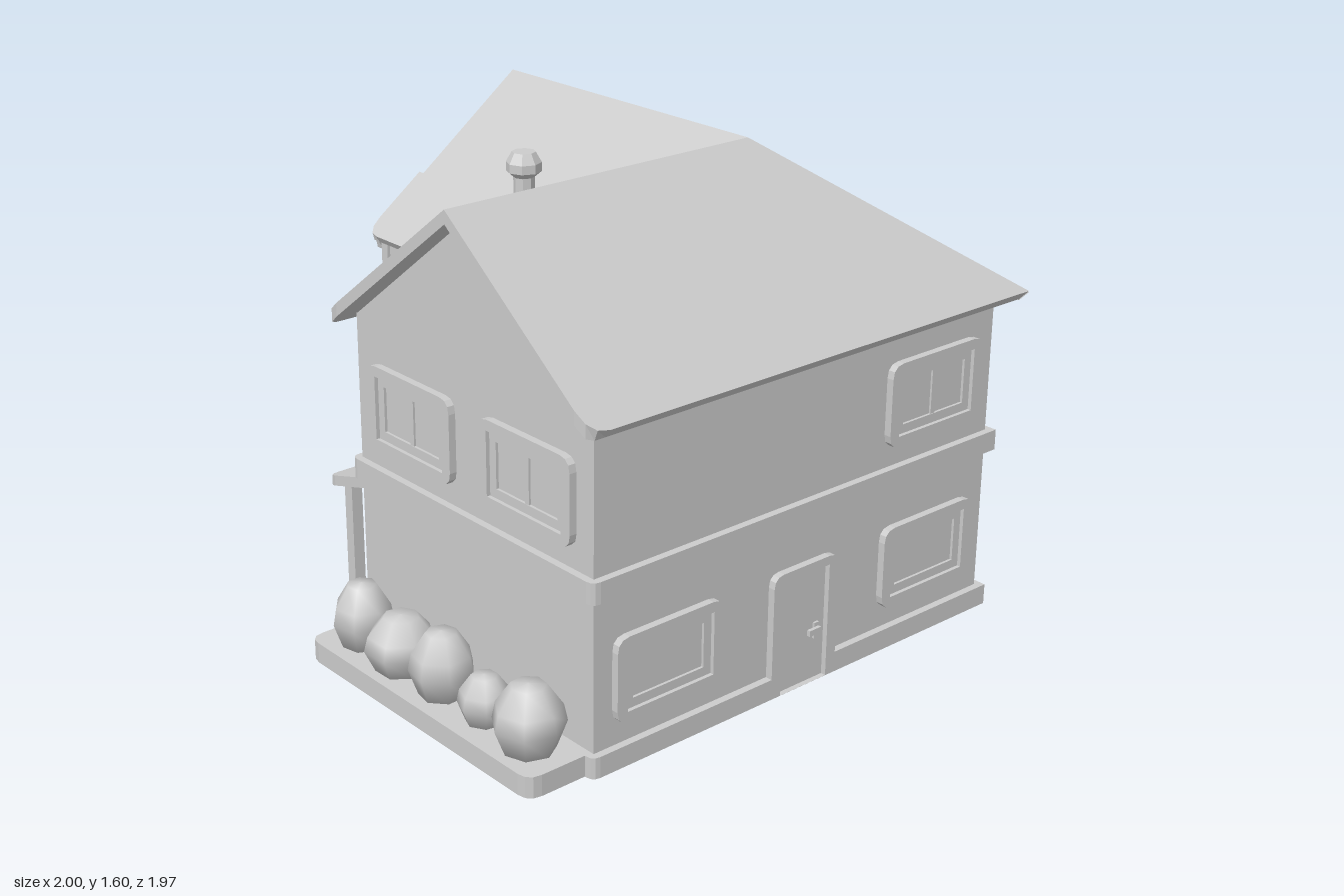
import * as THREE from 'three';

const grey = new THREE.MeshStandardMaterial({ color: 0xcccccc });
const thin = new THREE.MeshStandardMaterial({ color: 0xcccccc, side: THREE.DoubleSide });

function mesh(name, geo, mat = grey) {
  const m = new THREE.Mesh(geo, mat);
  m.name = name;
  return m;
}
function box(name, w, h, d, x, y, z) {
  const m = mesh(name, new THREE.BoxGeometry(w, h, d));
  m.position.set(x, y, z);
  return m;
}
// Rounds the corners of an outline; each point is [a, b, radius]
function rounded(pts) {
  const out = [];
  pts.forEach(([a, b, r], i) => {
    const c = new THREE.Vector2(a, b);
    if (!r) return out.push(c);
    const n = pts.length;
    const to = (q) => new THREE.Vector2(q[0], q[1]).sub(c).setLength(r).add(c);
    const curve = new THREE.QuadraticBezierCurve(to(pts[(i + n - 1) % n]), c, to(pts[(i + 1) % n]));
    out.push(...curve.getPoints(3));
  });
  return out;
}
const rect = (x0, y0, x1, y1, r = 0, rBottom = r) =>
  rounded([[x0, y0, rBottom], [x1, y0, rBottom], [x1, y1, r], [x0, y1, r]]);

// Upright extrusion facing +z, with an optional hole
function panel(name, outline, depth, hole) {
  const s = new THREE.Shape(outline);
  if (hole) s.holes.push(new THREE.Path(hole));
  return mesh(name, new THREE.ExtrudeGeometry(s, { depth, bevelEnabled: false }));
}
// Extrusion of an (x, z) plan from y0 to y1
function plan(name, pts, y0, y1) {
  const s = new THREE.Shape(rounded(pts.map(([x, z, r]) => [x, -z, r])));
  const g = new THREE.ExtrudeGeometry(s, { depth: y1 - y0, bevelEnabled: false });
  return mesh(name, g.rotateX(-Math.PI / 2).translate(0, y0, 0));
}
function place(obj, x, y, z, ry = 0) {
  obj.position.set(x, y, z);
  obj.rotation.y = ry;
  return obj;
}

// Sloping slab: convex (x, z) outline, falling away from a ridge line along one axis
function slab(name, pts, { axis, ridge, top, slope, thick, lim, hip }) {
  const p = rounded(pts);
  if (THREE.ShapeUtils.area(p) > 0) p.reverse();
  const height = (v) => top - slope * Math.abs(v[axis] - ridge);
  const up = p.map((v) => [v.x, height(v), v.y]);
  const down = p.map((v) => {
    const q = v.clone();
    q[axis] = ridge + THREE.MathUtils.clamp(q[axis] - ridge, -lim, lim);
    if (hip) q.set(Math.min(q.x, hip[0]), Math.min(q.y, hip[1]));
    return [q.x, height(q) - thick, q.y];
  });
  const tri = [];
  for (let i = 0; i < p.length; i++) {
    const j = (i + 1) % p.length;
    if (i > 0 && j > 0) tri.push(up[0], up[i], up[j], down[0], down[j], down[i]);
    tri.push(up[i], down[i], down[j], up[i], down[j], up[j]);
  }
  const g = new THREE.BufferGeometry();
  g.setAttribute('position', new THREE.Float32BufferAttribute(tri.flat(), 3));
  g.computeVertexNormals();
  return mesh(name, g, thin);
}

function makeWindow(split) {
  const g = new THREE.Group();
  g.name = 'window';
  g.add(panel('windowFrame', rect(-0.21, -0.14, 0.21, 0.14, 0.045), 0.025, rect(-0.17, -0.105, 0.17, 0.105)));
  g.add(panel('windowSash', rect(-0.17, -0.105, 0.17, 0.105), 0.012, rect(-0.14, -0.075, 0.14, 0.075)));
  g.add(box('windowPane', 0.3, 0.17, 0.004, 0, 0, 0.001));
  if (split) g.add(box('windowMullion', 0.018, 0.15, 0.01, 0, 0, 0.005));
  return g;
}
function makeDoor(glazed) {
  const g = new THREE.Group();
  g.name = 'door';
  const hole = rect(-0.1, 0.0005, 0.1, 0.39);
  g.add(panel('doorFrame', rect(-0.14, 0, 0.14, 0.42, 0.04, 0), 0.025, hole));
  g.add(box('doorLeaf', 0.2, 0.39, 0.008, 0, 0.195, 0.003));
  if (glazed) g.add(panel('doorGlazing', rect(-0.07, 0.06, 0.05, 0.36), 0.014, rect(-0.05, 0.08, 0.03, 0.34)));
  g.add(box('handlePlate', 0.02, 0.055, 0.008, 0.063, 0.17, 0.011));
  g.add(box('handleLever', 0.05, 0.02, 0.012, 0.045, 0.175, 0.022));
  return g;
}
function makeGarageDoor() {
  const g = new THREE.Group();
  g.name = 'garageDoor';
  g.add(panel('garageFrame', rect(-0.2, 0, 0.2, 0.43, 0.04, 0), 0.025, rect(-0.16, 0.0005, 0.16, 0.39)));
  g.add(box('garageLeaf', 0.32, 0.39, 0.008, 0, 0.195, 0.003));
  g.add(panel('garageLight', rect(-0.12, 0.27, 0.12, 0.35), 0.014, rect(-0.1, 0.29, 0.1, 0.33)));
  g.add(box('garageHandle', 0.07, 0.025, 0.015, 0, 0.07, 0.013));
  return g;
}

export function createModel() {
  const house = new THREE.Group();
  house.name = 'house';
  const X0 = -0.765, X1 = 0.915, XI = -0.21, Z0 = -0.78, Z1 = 0.91, ZI = -0.225;

  // L-shaped walls, floor band and plinth with gaps at the doors
  const outline = (e, r, gaps) => {
    const gap = (a, b, outer, inner) => (gaps ? [[a, outer], [a, inner], [b, inner], [b, outer]] : []);
    return [
      [X0 - e, Z1 + e, r], ...gap(-0.065, 0.215, Z1 + e, Z1), [X1 + e, Z1 + e],
      [X1 + e, Z0 - e, r], ...gap(0.215, -0.065, Z0 - e, Z0), [XI - e, Z0 - e, r],
      [XI - e, ZI - e], ...gap(-0.285, -0.685, ZI - e, ZI), [X0 - e, ZI - e, r],
    ];
  };
  house.add(plan('walls', outline(0, 0, false), 0, 1.12));
  house.add(plan('floorBand', outline(0.025, 0.03, false), 0.565, 0.635));
  house.add(plan('plinth', outline(0.025, 0.03, true), 0, 0.07));

  // Gables under the roof
  const gable = (w, len) => panel('gable', [[-w, 1.1], [w, 1.1], [w, 1.12], [0, 1.555], [-w, 1.12]].map((p) => new THREE.Vector2(...p)), len);
  house.add(place(gable(0.56, 1.12), 0.353, 0, Z0));
  house.add(place(gable(0.565, 1.12), X0, 0, 0.343, Math.PI / 2));

  // Main roof: two wings meeting at a hip and a valley
  const RX = 0.355, RZ = 0.34, R = 0.07;
  const pitch = { top: 1.6, slope: 0.76, thick: 0.044, lim: 0.624, hip: [0.979, 0.959] };
  const acrossX = { ...pitch, axis: 'x', ridge: RX };
  const acrossZ = { ...pitch, axis: 'y', ridge: RZ };
  house.add(slab('roofFront', [[RX, RZ], [-0.835, RZ], [-0.835, 0.98, R], [1, 0.98]], acrossZ));
  house.add(slab('roofLeft', [[RX, RZ], [1, 0.98], [1, -0.85, R], [RX, -0.85]], acrossX));
  house.add(slab('roofInnerSide', [[RX, RZ], [RX, -0.85], [-0.285, -0.85, R], [-0.285, -0.3]], acrossX));
  house.add(slab('roofInnerBack', [[RX, RZ], [-0.285, -0.3], [-0.835, -0.3, R], [-0.835, RZ]], acrossZ));

  // Dormer
  const DX = -0.485;
  for (const s of [-1, 1]) {
    house.add(slab('dormerRoof',
      [[DX, 0.225], [DX, -0.26], [DX + s * 0.208, -0.26, 0.055], [DX + s * 0.208, 0.02]],
      { axis: 'x', ridge: DX, top: 1.513, slope: 0.75, thick: 0.03, lim: 0.195 }));
  }
  const v = (...pts) => pts.map((p) => new THREE.Vector2(...p));
  house.add(place(panel('dormerBody', v([-0.17, 1.16], [0.17, 1.16], [0.17, 1.36], [0, 1.487], [-0.17, 1.36]), 0.38), DX, 0, -0.19));
  house.add(place(panel('dormerFrame', v([-0.18, 1.2], [0.18, 1.2], [0.18, 1.35], [0, 1.48], [-0.18, 1.35]), 0.03,
    v([-0.13, 1.24], [0.13, 1.24], [0.13, 1.31], [0, 1.42], [-0.13, 1.31])), DX, 0, -0.22));
  house.add(box('dormerMullion', 0.018, 0.17, 0.015, DX, 1.32, -0.195));
  house.add(box('dormerSill', 0.41, 0.035, 0.06, DX, 1.2, -0.21));

  // Chimney
  const flue = [[0.036, 1.2], [0.036, 1.39], [0.06, 1.41], [0.06, 1.44], [0.04, 1.475], [0, 1.475]].map((p) => new THREE.Vector2(...p));
  const flueGeo = new THREE.LatheGeometry(flue, 8).toNonIndexed();
  flueGeo.computeVertexNormals();
  house.add(place(mesh('chimney', flueGeo), -0.005, 0, -0.34));

  // Windows and doors
  const B = Math.PI, L = Math.PI / 2, LOW = 0.285, UP = 0.845;
  const windows = [
    [-0.485, LOW, Z1, 0], [0.635, LOW, Z1, 0], [0.635, UP, Z1, 0],
    [X1, LOW, 0.06, L], [X1, UP, 0.06, L],
    [0.635, LOW, Z0, B], [0.635, UP, Z0, B], [0.07, UP, Z0, B],
    [X0, UP, 0.065, -L], [X0, UP, 0.625, -L],
  ];
  for (const [x, y, z, ry] of windows) house.add(place(makeWindow(y === UP), x, y, z, ry));
  house.add(place(makeDoor(false), 0.075, 0, Z1));
  house.add(place(makeDoor(true), 0.075, 0, Z0, B));
  house.add(place(makeGarageDoor(), -0.485, 0, ZI, B));

  // Porches
  const porch = (x0, x1, r0, z, posts) => {
    house.add(slab('porchRoof', [[x0, z], [x1, z], [x1, z - 0.205, r0], [x0, z - 0.205, 0.04]],
      { axis: 'y', ridge: z, top: 0.56, slope: 0.29, thick: 0.036, lim: 0.205 }));
    for (const x of posts) house.add(box('porchPost', 0.04, 0.5, 0.04, x, 0.25, z - 0.12));
  };
  porch(-0.2, 0.915, 0.04, Z0, [-0.16, 0.875]);
  porch(X0, XI, 0, ZI, [-0.725]);

  // Planter with bushes
  house.add(plan('planter', [[-1, -0.22, 0.05], [-1, 0.9, 0.05], [-0.76, 0.9], [-0.76, -0.22]], 0, 0.07));
  const bush = [[0, 0], [0.7, 0], [1, 0.4], [0.9, 0.65], [0.48, 0.97], [0, 1]].map((p) => new THREE.Vector2(...p));
  const bushes = [[-0.08, 0.1, 0.22], [0.13, 0.12, 0.19], [0.34, 0.105, 0.22], [0.55, 0.085, 0.16], [0.76, 0.115, 0.22]];
  bushes.forEach(([z, r, h], i) => {
    const m = place(mesh('bush', new THREE.LatheGeometry(bush, 7)), -0.885, 0.065, z, i * 0.7);
    m.scale.set(r, h, r);
    house.add(m);
  });
  return house;
}
